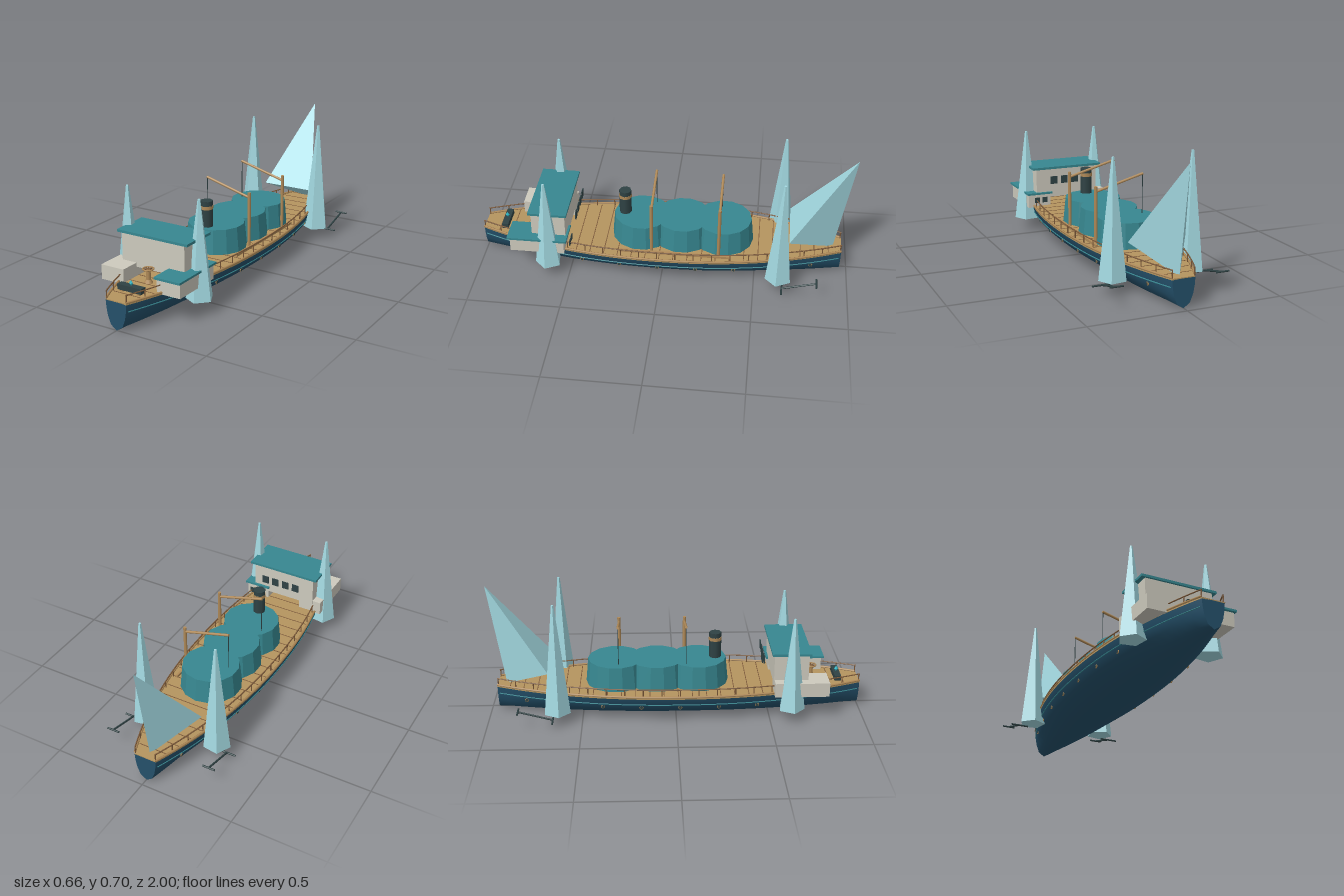
import * as THREE from 'three';

const mat = (name, color) => {
  const m = new THREE.MeshStandardMaterial({ color });
  m.name = name;
  return m;
};

export function createModel() {
  const root = new THREE.Group();
  root.name = 'ship';
  const navy = mat('hull navy', 0x24506a);
  const teal = mat('teal paint', 0x378790);
  const wood = mat('deck wood', 0xb5945f);
  const brass = mat('brass wood', 0xb08a58);
  const brown = mat('rail brown', 0x7d5a3a);
  const cream = mat('cream wall', 0xcdcabd);
  const dark = mat('dark iron', 0x2f4244);
  const ice = mat('ice blue', 0xa3d9e1);
  const gem = mat('crystal teal', 0x2fb9c8);
  ice.flatShading = teal.flatShading = true;

  const add = (name, geo, material, x = 0, y = 0, z = 0) => {
    const m = new THREE.Mesh(geo, material);
    m.name = name;
    m.position.set(x, y, z);
    root.add(m);
    return m;
  };
  // Box given by its minimum and maximum corners
  const box = (name, material, x0, x1, y0, y1, z0, z1) =>
    add(name, new THREE.BoxGeometry(x1 - x0, y1 - y0, z1 - z0), material,
      (x0 + x1) / 2, (y0 + y1) / 2, (z0 + z1) / 2);
  // Round rod between two points
  const rod = (name, material, a, b, r, sides = 8) => {
    const p = new THREE.Vector3(...a), q = new THREE.Vector3(...b);
    const d = q.clone().sub(p);
    const m = add(name, new THREE.CylinderGeometry(r, r, d.length(), sides), material);
    m.position.copy(p).add(q).multiplyScalar(0.5);
    m.quaternion.setFromUnitVectors(new THREE.Vector3(0, 1, 0), d.normalize());
    return m;
  };

  // Hull lofted from scaled cross-sections
  const Z0 = -0.96, Z1 = 1, N = 32;
  const halfWidth = z => 0.06 + 0.185 * (1 - Math.pow(Math.min(1, Math.abs((z - 0.02) / 0.98)), 2.2));
  const half = [[0.3, 0.013], [0.56, 0.025], [0.83, 0.067], [0.95, 0.107], [1, 0.147]];
  const section = [...half.map(([x, y]) => [-x, y]).reverse(), [0, 0.002], ...half];
  const pos = [], index = [], S = section.length;
  for (let j = 0; j <= N; j++) {
    const z = Z0 + (Z1 - Z0) * j / N;
    section.forEach(([x, y]) => pos.push(x * halfWidth(z), y, z));
    if (j < N) for (let i = 0; i < S - 1; i++) {
      const a = j * S + i, b = a + 1, c = b + S, d = a + S;
      index.push(a, b, c, a, c, d);
    }
  }
  const hull = new THREE.BufferGeometry();
  hull.setAttribute('position', new THREE.Float32BufferAttribute(pos, 3));
  hull.setIndex(index);
  hull.computeVertexNormals();
  add('hull', hull, navy);
  for (const z of [Z0, Z1]) {
    const cap = new THREE.Shape(section.map(([x, y]) => new THREE.Vector2(x * halfWidth(z), y)));
    const m = add('hullEnd', new THREE.ShapeGeometry(cap), navy, 0, 0, z);
    if (z < 0) m.rotation.y = Math.PI;
  }

  // Deck with plank seams
  const edge = [];
  for (let j = 0; j <= N; j++) {
    const z = Z0 + (Z1 - Z0) * j / N;
    edge.push(new THREE.Vector2(halfWidth(z), z));
  }
  const outline = [...edge, ...edge.map(p => new THREE.Vector2(-p.x, p.y)).reverse()];
  const deck = new THREE.ExtrudeGeometry(new THREE.Shape(outline), { depth: 0.008, bevelEnabled: false });
  deck.rotateX(Math.PI / 2);
  add('deck', deck, wood, 0, 0.152, 0);
  for (let z = -0.89; z < 0.98; z += 0.075) {
    const w = halfWidth(z) - 0.012;
    box('plankSeam', brown, -w, w, 0.15, 0.1535, z - 0.002, z + 0.002);
  }

  // Gunwales, rails, posts, waterline stripes and portholes on both sides
  const along = (name, material, side, scale, y, r, z0 = Z0, z1 = Z1) => {
    const pts = [];
    for (let j = 0; j <= 20; j++) {
      const z = z0 + (z1 - z0) * j / 20;
      pts.push(new THREE.Vector3(side * halfWidth(z) * scale, y, z));
    }
    add(name, new THREE.TubeGeometry(new THREE.CatmullRomCurve3(pts), 40, r, 6), material);
  };
  for (const s of [-1, 1]) {
    along('gunwale', brass, s, 0.99, 0.156, 0.006);
    along('handRail', brown, s, 0.93, 0.192, 0.0035);
    along('hullStripe', teal, s, 0.955, 0.107, 0.003, -0.95, 0.99);
    for (let i = 0; i <= 20; i++) {
      const z = Z0 + 0.005 + 1.95 * i / 20, x = s * halfWidth(z) * 0.93;
      rod('railPost', brown, [x, 0.15, z], [x, 0.192, z], 0.003, 6);
    }
    for (let i = 0; i < 8; i++) {
      const z = -0.8 + i * 0.205, x = s * halfWidth(z) * 0.9;
      const ring = add('portholeRing', new THREE.TorusGeometry(0.008, 0.003, 6, 12), brass, x, 0.086, z);
      const glass = add('portholeGlass', new THREE.CylinderGeometry(0.008, 0.008, 0.006, 12), dark, x, 0.086, z);
      ring.rotation.y = Math.PI / 2;
      glass.rotation.z = Math.PI / 2;
    }
  }

  // Three joined storage tanks
  for (const z of [-0.32, -0.1, 0.122])
    add('tank', new THREE.CylinderGeometry(0.151, 0.164, 0.135, 14), teal, 0, 0.2175, z);

  // Funnel with band
  add('funnel', new THREE.CylinderGeometry(0.033, 0.033, 0.145, 8), dark, 0, 0.3525, 0.215);
  add('funnelBand', new THREE.CylinderGeometry(0.035, 0.035, 0.018, 8), brass, 0, 0.39, 0.215);

  // Cargo cranes and their deck beam
  for (const z of [-0.305, 0.055]) {
    rod('cranePost', brass, [0.162, 0.15, z], [0.162, 0.45, z], 0.009);
    rod('craneBoom', brass, [0.162, 0.423, z], [-0.1, 0.495, z], 0.007);
    rod('craneCable', dark, [-0.098, 0.28, z], [-0.098, 0.494, z], 0.002, 6);
  }
  box('craneBeam', brass, 0.178, 0.19, 0.15, 0.165, -0.37, 0.225);

  // Bridge house with side wings
  box('bridgeHouse', cream, -0.185, 0.185, 0.2, 0.37, 0.517, 0.7);
  box('bridgeRoof', teal, -0.208, 0.208, 0.367, 0.38, 0.503, 0.71);
  box('plainWing', cream, -0.234, -0.1, 0.145, 0.222, 0.52, 0.808);
  box('roofedWing', cream, 0.1, 0.234, 0.145, 0.222, 0.52, 0.812);
  box('wingRoof', teal, 0.093, 0.242, 0.221, 0.232, 0.505, 0.827);
  for (let i = 0; i < 4; i++) {
    const x = -0.095 + i * 0.0633;
    box('bridgeWindow', dark, x - 0.02, x + 0.02, 0.288, 0.332, 0.468, 0.473);
  }
  for (const x of [0.145, 0.19])
    box('wingWindow', dark, x - 0.015, x + 0.015, 0.178, 0.208, 0.49, 0.495);

  // Steering stand on the foredeck
  add('steeringBase', new THREE.CylinderGeometry(0.014, 0.024, 0.02, 10), brass, 0, 0.16, 0.74);
  add('steeringColumn', new THREE.CylinderGeometry(0.012, 0.012, 0.07, 10), brass, 0, 0.19, 0.74);
  const wheel = add('steeringWheel', new THREE.TorusGeometry(0.027, 0.004, 6, 14), brass, 0, 0.224, 0.74);
  wheel.rotation.x = Math.PI / 2;
  for (let i = 0; i < 3; i++) {
    const a = i * Math.PI / 3, c = 0.027 * Math.cos(a), s = 0.027 * Math.sin(a);
    rod('wheelSpoke', brown, [-c, 0.224, 0.74 - s], [c, 0.224, 0.74 + s], 0.003, 6);
  }

  // Crystal on its chest at the bow
  box('bowChest', dark, -0.07, 0.07, 0.16, 0.188, 0.862, 0.897);
  for (const x of [-0.05, 0.05]) box('chestFoot', brass, x - 0.01, x + 0.01, 0.15, 0.162, 0.865, 0.894);
  const crystal = add('bowCrystal', new THREE.OctahedronGeometry(0.011), gem, 0, 0.2, 0.88);
  crystal.scale.y = 1.6;

  // Ice spires beside the hull, and oars at the stern
  for (const s of [-1, 1]) {
    for (const [z, y0, y1] of [[0.61, 0.07, 0.58], [-0.63, 0.065, 0.67]]) {
      const spire = add('iceSpire', new THREE.CylinderGeometry(0.007, 0.072, y1 - y0, 5), ice,
        s * 0.212, (y0 + y1) / 2, z);
      spire.rotation.y = s * 0.15;
    }
    rod('oarShaft', dark, [s * 0.28, 0.054, -0.65], [s * 0.28, 0.103, -0.83], 0.005);
    rod('oarLowerBar', dark, [s * 0.23, 0.053, -0.65], [s * 0.328, 0.053, -0.65], 0.005);
    rod('oarUpperBar', dark, [s * 0.245, 0.103, -0.83], [s * 0.314, 0.103, -0.83], 0.005);
  }

  // Leaning three-sided ice peak over the stern
  const peak = add('sternPeak', new THREE.ConeGeometry(0.178, 0.54, 3), ice, 0, 0.46, -0.878);
  peak.rotation.set(-0.469, Math.PI, 0);

  return root;
}
